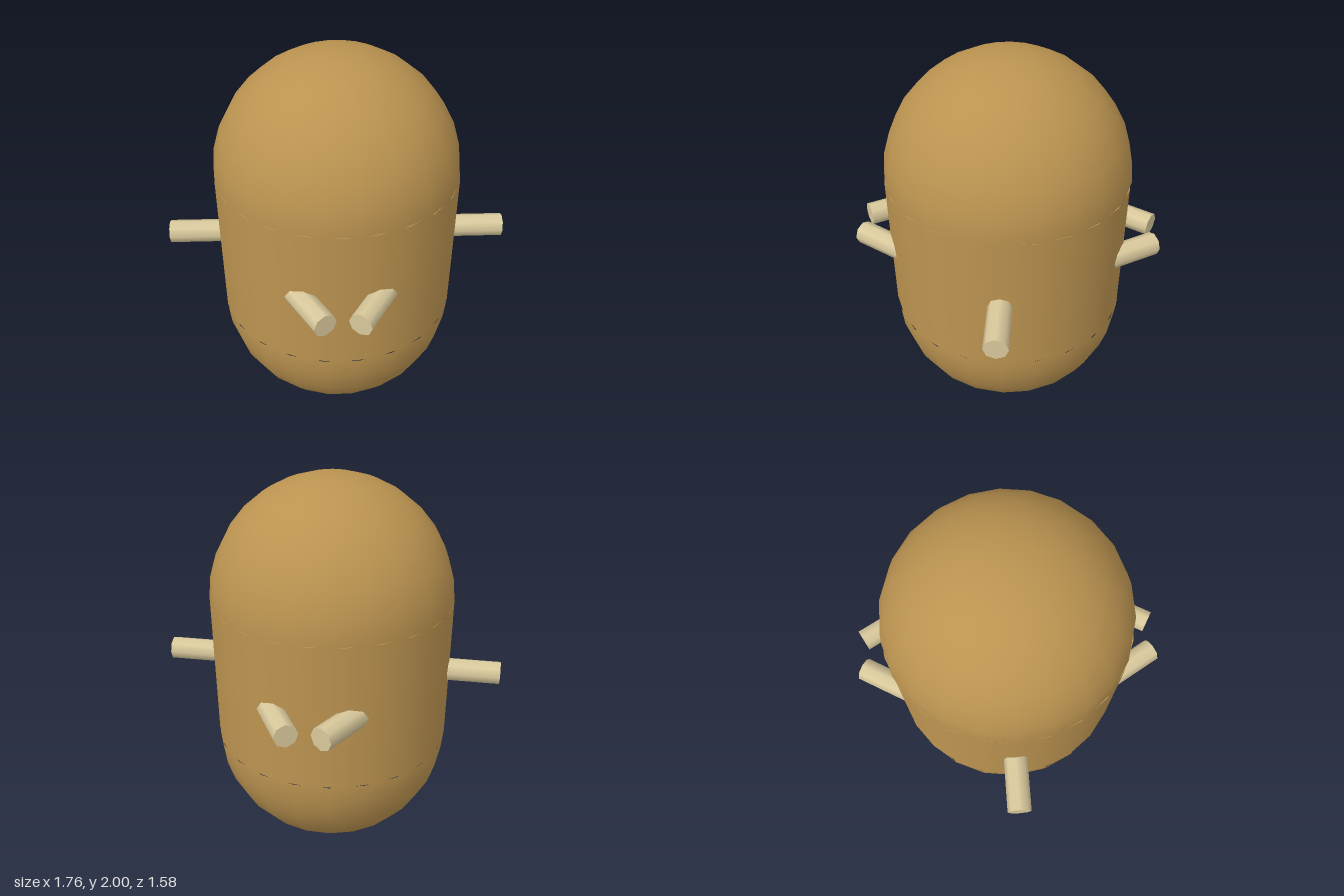
import * as THREE from 'three';

const RADIUS = 0.62;      // body radius
const SEAM = 0.38;        // half height of the straight middle
const PEG_RADIUS = 0.06;
const PEG_LENGTH = 0.72;
const PEG_RING = 0.52;    // distance of each peg's centre from the axis

export function createModel() {
  const model = new THREE.Group();
  model.name = 'peggedCapsule';

  const shell = new THREE.MeshStandardMaterial({ color: 0xbb9350 });
  shell.name = 'ochre shell';
  const cream = new THREE.MeshStandardMaterial({ color: 0xd9c99c });
  cream.name = 'cream pegs';

  // Straight middle of the body
  const middle = new THREE.Mesh(
    new THREE.CylinderGeometry(RADIUS, RADIUS, SEAM * 2, 24), shell);
  middle.name = 'bodyMiddle';
  middle.position.y = 1;
  model.add(middle);

  // Domed ends, the lower one turned over
  for (const side of [1, -1]) {
    const dome = new THREE.Mesh(
      new THREE.SphereGeometry(RADIUS, 22, 8, 0, Math.PI * 2, 0, Math.PI / 2), shell);
    dome.name = side > 0 ? 'topDome' : 'bottomDome';
    dome.position.y = 1 + side * SEAM;
    if (side < 0) dome.rotation.x = Math.PI;
    model.add(dome);
  }

  // Six eight-sided pegs around the waist; those off the x axis lean inward
  const pegGeometry = new THREE.CylinderGeometry(PEG_RADIUS, PEG_RADIUS, PEG_LENGTH, 8);
  pegGeometry.rotateZ(-Math.PI / 2);
  for (let i = 0; i < 6; i++) {
    const angle = i * Math.PI / 3;
    const peg = new THREE.Mesh(pegGeometry, cream);
    peg.name = `peg${i + 1}`;
    peg.position.set(Math.cos(angle) * PEG_RING, 1, Math.sin(angle) * PEG_RING);
    peg.rotation.y = angle;
    model.add(peg);
  }

  return model;
}
